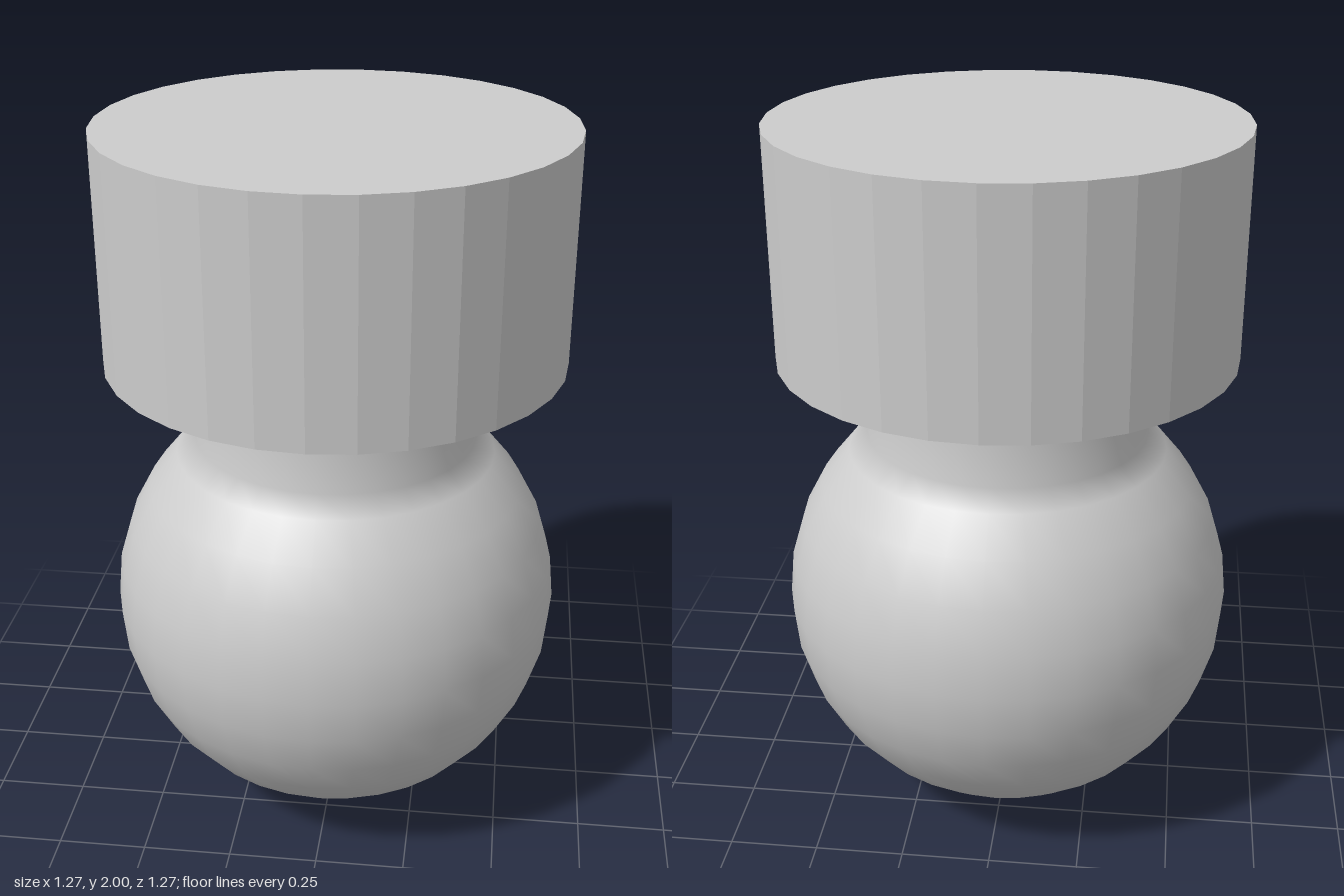
import * as THREE from 'three';

const SIDES = 32;
const RADIUS = 0.635;
const NECK_RADIUS = 0.395;
const CAP_BOTTOM = 1.365;
const TOP = 2;

export function createModel() {
  const group = new THREE.Group();
  group.name = 'ballKnob';

  const smoothGrey = new THREE.MeshStandardMaterial({ color: 0xcccccc });
  smoothGrey.name = 'light grey';

  // Ball and neck: one smooth turned profile, from the bottom pole up
  const profile = [];
  const step = (Math.PI * 2) / SIDES;
  for (let i = 0; i <= 12; i++) {
    const a = -Math.PI / 2 + i * step;
    profile.push(new THREE.Vector2(Math.max(0, RADIUS * Math.cos(a)), RADIUS + RADIUS * Math.sin(a)));
  }
  const neckStart = RADIUS + Math.sqrt(RADIUS ** 2 - NECK_RADIUS ** 2);
  profile.push(new THREE.Vector2(NECK_RADIUS, neckStart));
  profile.push(new THREE.Vector2(NECK_RADIUS, CAP_BOTTOM));
  const ball = new THREE.Mesh(new THREE.LatheGeometry(profile, SIDES), smoothGrey);
  ball.name = 'ballAndNeck';
  group.add(ball);

  // Cap: faceted cylinder with flat sides
  const height = TOP - CAP_BOTTOM;
  const capGeometry = new THREE.CylinderGeometry(RADIUS, RADIUS, height, SIDES).toNonIndexed();
  capGeometry.computeVertexNormals();
  const cap = new THREE.Mesh(capGeometry, smoothGrey);
  cap.name = 'cap';
  cap.position.y = CAP_BOTTOM + height / 2;
  group.add(cap);

  return group;
}
